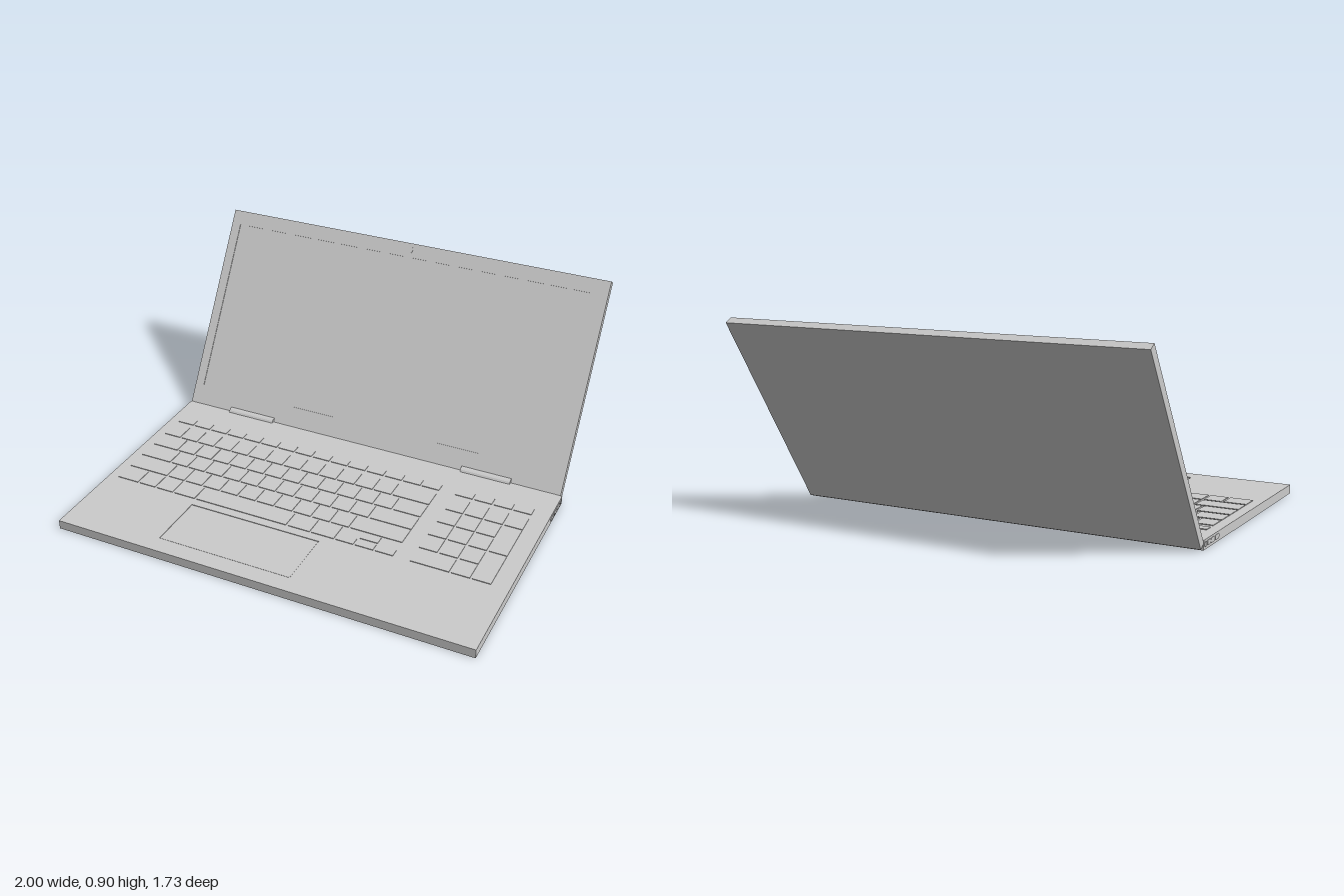
import * as THREE from 'three';

const mat = new THREE.MeshStandardMaterial({ color: 0xcccccc, flatShading: true });

function add(parent, name, geo, x = 0, y = 0, z = 0) {
  const m = new THREE.Mesh(geo, mat);
  m.name = name;
  m.position.set(x, y, z);
  parent.add(m);
  return m;
}

const box = (w, h, d) => new THREE.BoxGeometry(w, h, d);

function rectPath(path, x0, y0, x1, y1) {
  path.moveTo(x0, y0);
  path.lineTo(x1, y0);
  path.lineTo(x1, y1);
  path.lineTo(x0, y1);
  path.closePath();
  return path;
}

// flat plate with one rectangular opening; rectangles are [x0, y0, x1, y1]
function framePlate(outer, hole, depth) {
  const s = rectPath(new THREE.Shape(), ...outer);
  s.holes.push(rectPath(new THREE.Path(), ...hole));
  return new THREE.ExtrudeGeometry(s, { depth, bevelEnabled: false });
}

// rounded slab in the xy plane, centred
function roundedSlab(w, h, r, depth) {
  const s = new THREE.Shape();
  const a = w / 2 - r, b = h / 2 - r;
  s.absarc(a, b, r, 0, Math.PI / 2);
  s.absarc(-a, b, r, Math.PI / 2, Math.PI);
  s.absarc(-a, -b, r, Math.PI, Math.PI * 1.5);
  s.absarc(a, -b, r, Math.PI * 1.5, Math.PI * 2);
  s.closePath();
  return new THREE.ExtrudeGeometry(s, { depth, bevelEnabled: false, curveSegments: 5 });
}

const DECK = 0.043, BACK = -0.29, FRONT = 0.863, HALF = 0.998;

function buildBase() {
  const base = new THREE.Group();
  base.name = 'base';
  const lip = 0.003;
  add(base, 'baseBody', box(HALF * 2, DECK - lip, FRONT - BACK), 0, (DECK - lip) / 2, (FRONT + BACK) / 2);
  // top plate with the sunken touchpad
  const plate = add(base, 'deckPlate',
    framePlate([-HALF, -FRONT, HALF, -BACK], [-0.52, -0.78, 0.13, -0.5], lip), 0, DECK - lip, 0);
  plate.rotation.x = -Math.PI / 2;
  add(base, 'touchpad', box(0.642, 0.002, 0.272), -0.195, DECK - lip, 0.64);

  // ports along the rear of both sides: [z, width]
  const ports = [[-0.138, 0.045], [-0.188, 0.045], [-0.232, 0.034], [-0.269, 0.022]];
  for (const side of [1, -1]) {
    for (const [z, w] of ports) {
      const p = add(base, 'sidePort', roundedSlab(w, 0.022, 0.008, 0.002), side * HALF, 0.023, z);
      p.rotation.y = side * Math.PI / 2;
    }
  }
  return base;
}

function buildKeyboard() {
  const keyboard = new THREE.Group();
  keyboard.name = 'keyboard';
  const X0 = -0.955, U = 0.095, Z0 = -0.06, ROW = 0.1045, GAP = 0.011, H = 0.006;
  // key given by its left, back, width and depth
  const key = (x, z, w, d, name = 'key') =>
    add(keyboard, name, box(w - GAP, H, d - GAP), x + w / 2, DECK + 0.0005, z + d / 2);

  // main rows as key widths, 15 units each
  const ones = n => Array(n).fill(1);
  const rows = [
    [...ones(13), 2],
    [1.5, ...ones(12), 1.5],
    [1.75, ...ones(11), 2.25],
    [2.25, ...ones(10), 2.75],
    [1.25, 1, 1, 1.25, 5, 1.25, 1.25],
  ];
  rows.forEach((row, r) => {
    let x = X0;
    for (const w of row) {
      key(x, Z0 + r * ROW, w * U, ROW, w === 5 ? 'spaceBar' : 'key');
      x += w * U;
    }
  });
  // arrow keys, the middle pair half depth
  const ax = X0 + 12 * U, az = Z0 + 4 * ROW;
  key(ax, az + ROW / 2, U, ROW / 2, 'arrowKey');
  key(ax + U, az, U, ROW / 2, 'arrowKey');
  key(ax + U, az + ROW / 2, U, ROW / 2, 'arrowKey');
  key(ax + 2 * U, az + ROW / 2, U, ROW / 2, 'arrowKey');

  // function row
  for (let i = 0; i < 15; i++) key(X0 + i * U, -0.137, U, 0.056, 'functionKey');

  // number pad with tall keys on the right and a wide zero
  const NX = 0.54, NU = 0.095;
  for (let c = 0; c < 4; c++) {
    key(NX + c * NU, -0.137, NU, 0.056, 'functionKey');
    key(NX + c * NU, Z0, NU, ROW, 'numberKey');
  }
  for (let r = 1; r < 4; r++)
    for (let c = 0; c < 3; c++) key(NX + c * NU, Z0 + r * ROW, NU, ROW, 'numberKey');
  key(NX, Z0 + 4 * ROW, NU * 2, ROW, 'numberKey');
  key(NX + 2 * NU, Z0 + 4 * ROW, NU, ROW, 'numberKey');
  for (const r of [1, 3]) key(NX + 3 * NU, Z0 + r * ROW, NU, ROW * 2, 'numberKey');
  return keyboard;
}

function buildLid() {
  const lid = new THREE.Group();
  lid.name = 'lid';
  const L = 1.03, T = 0.038, X0 = -0.997, X1 = 0.989, recess = 0.004;
  add(lid, 'lidShell', box(X1 - X0, L, T - recess), (X0 + X1) / 2, L / 2, -(T + recess) / 2);
  // bezel around the sunken screen
  add(lid, 'bezel', framePlate([X0, 0, X1, L], [-0.95, 0.11, 0.934, 0.96], recess), 0, 0, -recess);
  add(lid, 'screen', box(1.884, 0.85, 0.001), -0.008, 0.535, -recess);
  // camera above the screen
  const cam = add(lid, 'camera', new THREE.CylinderGeometry(0.02, 0.02, 0.002, 20), -0.015, 0.998, 0);
  cam.rotation.x = Math.PI / 2;
  lid.position.set(0, 0.03, -0.287);
  lid.rotation.x = -0.557;
  return lid;
}

export function createModel() {
  const model = new THREE.Group();
  model.name = 'laptop';
  model.add(buildBase(), buildKeyboard(), buildLid());
  // two hinge barrels
  for (const x of [-0.64, 0.621]) {
    const h = add(model, 'hinge', new THREE.CylinderGeometry(0.024, 0.024, 0.249, 16), x, 0.035, -0.298);
    h.rotation.z = Math.PI / 2;
  }
  return model;
}
